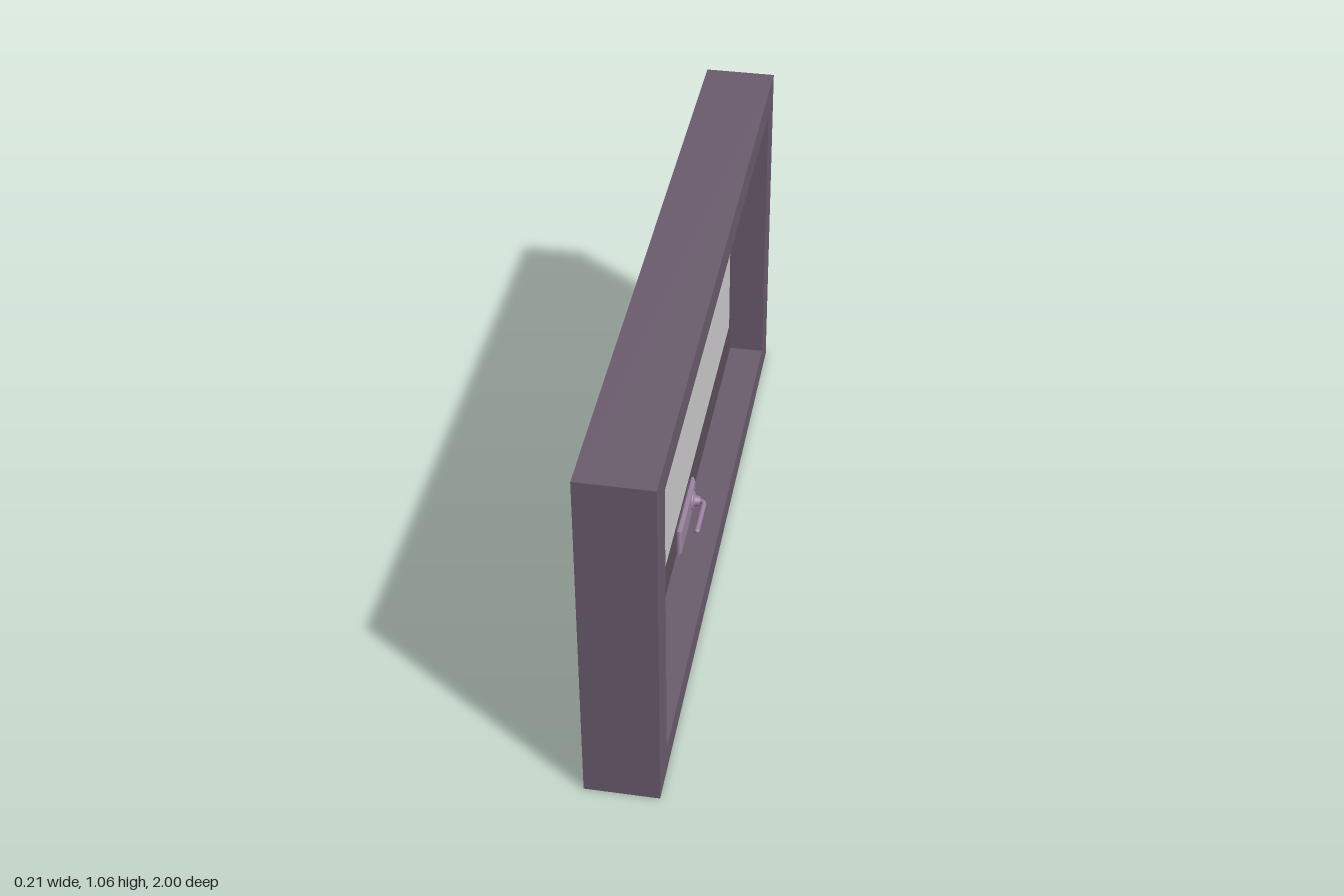
import * as THREE from 'three';

const frameMat = new THREE.MeshStandardMaterial({ color: 0x6b5c6d });
const sashMat = new THREE.MeshStandardMaterial({ color: 0x5c505c });
const handleMat = new THREE.MeshStandardMaterial({ color: 0x9b81a0 });
const glassMat = new THREE.MeshStandardMaterial({ color: 0xcccccc });

function rect(target, hw, y0, y1) {
  target.moveTo(-hw, y0);
  target.lineTo(hw, y0);
  target.lineTo(hw, y1);
  target.lineTo(-hw, y1);
  target.closePath();
  return target;
}

// Rectangular ring in the z-y plane, extruded from x0 to x1
function ring(name, outer, inner, x0, x1, mat) {
  const shape = rect(new THREE.Shape(), ...outer);
  shape.holes.push(rect(new THREE.Path(), ...inner));
  const geo = new THREE.ExtrudeGeometry(shape, { depth: x1 - x0, bevelEnabled: false });
  geo.rotateY(Math.PI / 2).translate(x0, 0, 0);
  const mesh = new THREE.Mesh(geo, mat);
  mesh.name = name;
  return mesh;
}

// Turned part along +x from [radius, height] points
function turned(name, points) {
  const geo = new THREE.LatheGeometry(points.map(p => new THREE.Vector2(...p)), 24);
  geo.rotateZ(-Math.PI / 2);
  const mesh = new THREE.Mesh(geo, handleMat);
  mesh.name = name;
  return mesh;
}

function createHandle() {
  const handle = new THREE.Group();
  handle.name = 'handle';

  // Backing plate with a bevelled rim
  const plateGeo = new THREE.ExtrudeGeometry(rect(new THREE.Shape(), 0.118, -0.038, 0.038), {
    depth: 0.006, bevelThickness: 0.006, bevelSize: 0.008, bevelSegments: 1,
  });
  plateGeo.rotateY(Math.PI / 2);
  const plate = new THREE.Mesh(plateGeo, handleMat);
  plate.name = 'handlePlate';
  plate.position.set(0.003, 0.145, 0.034);

  // Stepped collar and spindle
  const pivot = turned('handlePivot', [
    [0.03, 0], [0.03, 0.008], [0.026, 0.012], [0.018, 0.012], [0.016, 0.016], [0.014, 0.03],
  ]);
  pivot.position.set(0.008, 0.145, -0.04);

  // Lever bending out of the spindle and along the sash
  const path = new THREE.CurvePath();
  const v = (x, z) => new THREE.Vector3(x, 0.145, z);
  path.add(new THREE.LineCurve3(v(0.02, -0.04), v(0.036, -0.04)));
  path.add(new THREE.QuadraticBezierCurve3(v(0.036, -0.04), v(0.05, -0.04), v(0.05, -0.024)));
  path.add(new THREE.LineCurve3(v(0.05, -0.024), v(0.05, 0.094)));
  const lever = new THREE.Mesh(new THREE.TubeGeometry(path, 40, 0.008, 12), handleMat);
  lever.name = 'handleLever';
  const tip = new THREE.Mesh(new THREE.SphereGeometry(0.008, 12, 8), handleMat);
  tip.name = 'leverTip';
  tip.position.set(0.05, 0.145, 0.094);

  handle.add(plate, pivot, lever, tip);
  return handle;
}

export function createModel() {
  const model = new THREE.Group();
  model.name = 'window';
  const opening = [0.897, 0.085, 0.977];
  const pane = [0.862, 0.197, 0.943];

  // Fixed surround and the sash set inside it
  model.add(ring('outerFrame', [1, 0, 1.06], opening, -0.103, 0.103, frameMat));
  model.add(ring('sash', opening, pane, -0.062, -0.003, sashMat));

  // Pane, flush with the sash on the handle side
  const [hw, y0, y1] = pane;
  const glass = new THREE.Mesh(new THREE.BoxGeometry(0.033, y1 - y0, hw * 2), glassMat);
  glass.name = 'glass';
  glass.position.set(-0.0195, (y0 + y1) / 2, 0);
  model.add(glass, createHandle());
  return model;
}
